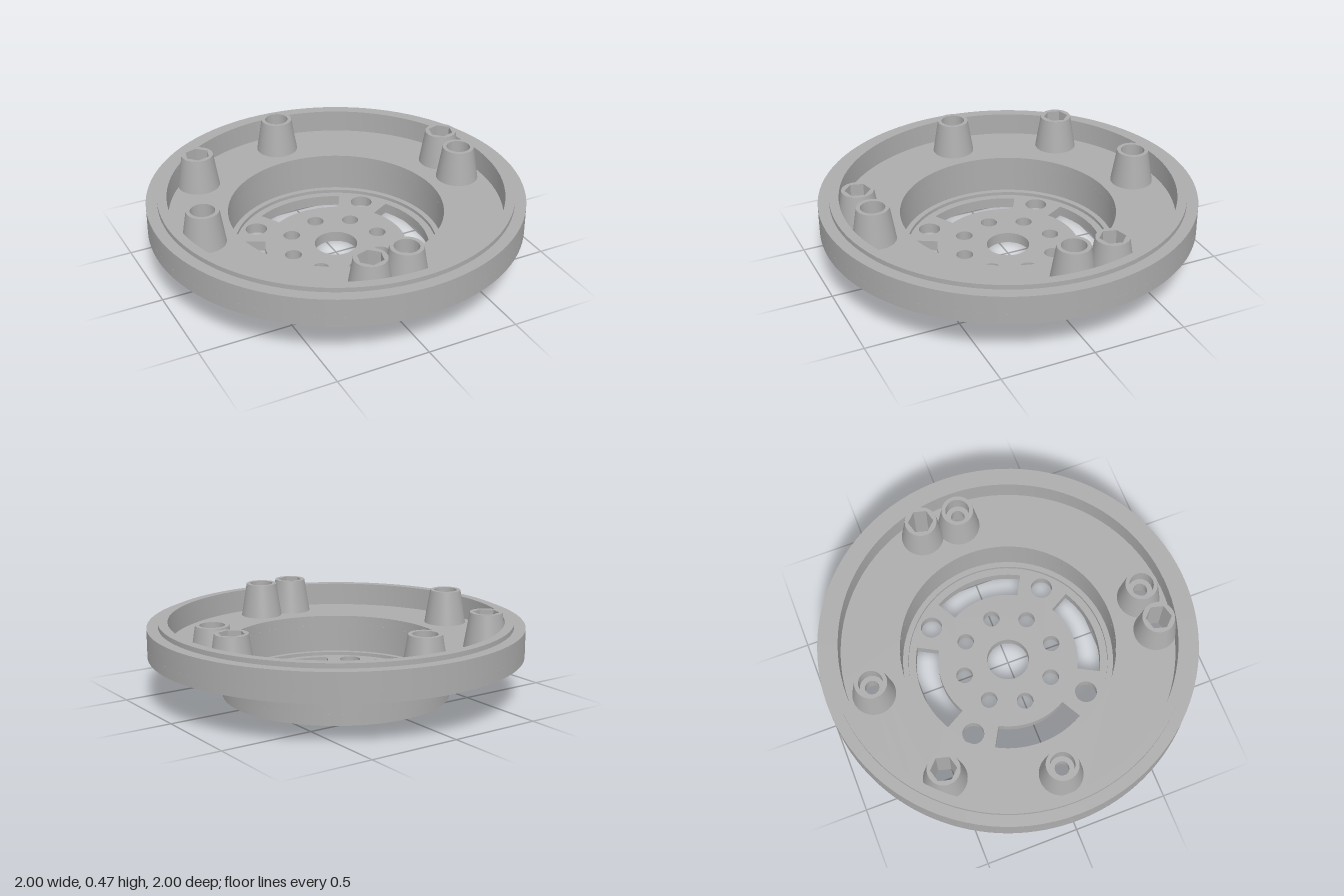
import * as THREE from 'three';
import { toCreasedNormals } from 'three/addons/utils/BufferGeometryUtils.js';

const SEG = 72;
const FLOOR = 0.285, POST_TOP = 0.47;
const HOLE = 0.064, HEX = 0.068;

const disc = (r) => new THREE.Shape().absarc(0, 0, r, 0, Math.PI * 2, false);
const circleHole = (x, y, r) => new THREE.Path().absarc(x, y, r, 0, Math.PI * 2, true);

// Hexagonal hole with one corner at 15 degrees
function hexHole(x, y) {
  const pts = [];
  for (let i = 0; i < 6; i++) {
    const a = Math.PI / 12 - (i * Math.PI) / 3;
    pts.push(new THREE.Vector2(x + HEX * Math.cos(a), y + HEX * Math.sin(a)));
  }
  return new THREE.Path(pts).closePath();
}

// Curved slot centred on angle a
function slotHole(a, r0, r1, half) {
  const p = new THREE.Path();
  p.absarc(0, 0, r1, a - half, a + half, false);
  p.absarc(0, 0, r0, a + half, a - half, true);
  return p.closePath();
}

// Flat plate between two heights; shape y becomes -z
function plate(shape, y0, y1) {
  const g = new THREE.ExtrudeGeometry(shape, { depth: y1 - y0, bevelEnabled: false, curveSegments: SEG });
  g.rotateX(-Math.PI / 2);
  g.translate(0, y0, 0);
  return toCreasedNormals(g, 0.5);
}

function turned(points, seg = SEG) {
  const g = new THREE.LatheGeometry(points.map(([x, y]) => new THREE.Vector2(x, y)), seg);
  return toCreasedNormals(g, 0.5);
}

export function createModel() {
  const root = new THREE.Group();
  root.name = 'flangedHub';
  const grey = new THREE.MeshStandardMaterial({ color: 0xacacac });
  grey.name = 'grey';
  const add = (name, geo, parent = root) => {
    const m = new THREE.Mesh(geo, grey);
    m.name = name;
    parent.add(m);
    return m;
  };

  // Post positions in x, z
  const roundPosts = [[0, -0.753], [0.753, 0], [0, 0.753], [-0.753, 0]];
  const hexPosts = [[-0.56, -0.562], [0.763, -0.206], [-0.203, 0.763]];

  // Wide flange floor, drilled under each post
  const flange = disc(1);
  flange.holes.push(circleHole(0, 0, 0.575));
  roundPosts.forEach(([x, z]) => flange.holes.push(circleHole(x, -z, HOLE)));
  hexPosts.forEach(([x, z]) => flange.holes.push(hexHole(x, -z)));
  add('flangeFloor', plate(flange, 0.23, FLOOR));

  // Outer rim with a raised lip
  add('rim', turned([[1, FLOOR], [1, 0.385], [0.94, 0.385], [0.94, 0.41], [0.89, 0.41], [0.89, FLOOR]], 96));

  // Sunken cup wall: outside, then inside with a small ledge
  add('cupOuterWall', turned([[0.61, 0.058], [0.61, 0.23]]));
  add('cupInnerWall', turned([[0.575, 0.23], [0.575, 0.077], [0.545, 0.077], [0.545, 0.058]]));

  // Cup floor with centre bore, bolt circle, corner holes and slots
  const floor = disc(0.61);
  floor.holes.push(circleHole(0, 0, 0.115));
  for (let i = 0; i < 8; i++) {
    const a = (i * Math.PI) / 4;
    floor.holes.push(circleHole(0.255 * Math.cos(a), 0.255 * Math.sin(a), 0.045));
  }
  for (let i = 0; i < 4; i++) {
    const a = (i * Math.PI) / 2;
    const d = a + Math.PI / 4;
    floor.holes.push(circleHole(0.463 * Math.cos(d), 0.463 * Math.sin(d), 0.059));
    floor.holes.push(slotHole(a, 0.383, 0.505, THREE.MathUtils.degToRad(29)));
  }
  add('cupFloor', plate(floor, 0, 0.058));

  // Round posts: tapered, bored from both ends with a narrow collar between
  const roundGeo = turned([
    [0.115, FLOOR], [0.085, POST_TOP], [HOLE, POST_TOP], [HOLE, 0.39],
    [0.037, 0.39], [0.037, 0.335], [HOLE, 0.335], [HOLE, FLOOR],
  ], 40);
  roundPosts.forEach(([x, z]) => add('roundPost', roundGeo).position.set(x, 0, z));

  // Hex posts: tapered skin around a hexagonal socket
  const skinGeo = turned([[0.115, FLOOR], [0.085, POST_TOP]], 40);
  const core = disc(0.085);
  core.holes.push(hexHole(0, 0));
  const coreGeo = plate(core, FLOOR, POST_TOP);
  hexPosts.forEach(([x, z]) => {
    const post = new THREE.Group();
    post.name = 'hexPost';
    post.position.set(x, 0, z);
    add('postSkin', skinGeo, post);
    add('hexSocket', coreGeo, post);
    root.add(post);
  });

  return root;
}
